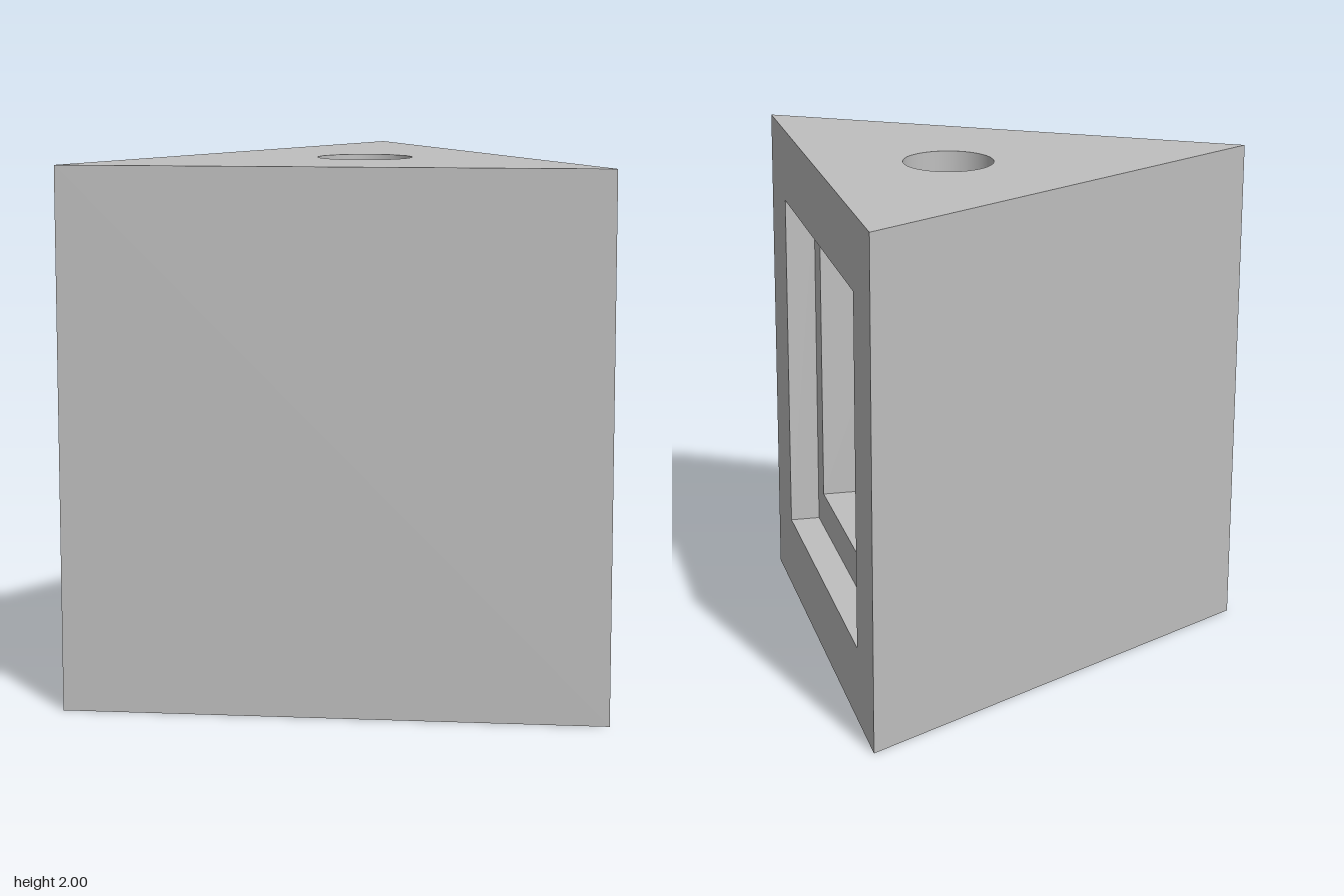
import * as THREE from 'three';

const HEIGHT = 2, SIDE = 2;
const APOTHEM = SIDE / (2 * Math.sqrt(3));
const CENTROID_Z = Math.sqrt(3) / 2 - APOTHEM;

// Rectangles are { x, y, w, h }, centred at x, y
function trace(path, { x, y, w, h }) {
  path.moveTo(x - w / 2, y - h / 2);
  path.lineTo(x + w / 2, y - h / 2);
  path.lineTo(x + w / 2, y + h / 2);
  path.lineTo(x - w / 2, y + h / 2);
  path.closePath();
  return path;
}

function panel(rect, opening) {
  const shape = trace(new THREE.Shape(), rect);
  if (opening) shape.holes.push(trace(new THREE.Path(), opening));
  return new THREE.ShapeGeometry(shape);
}

export function createModel() {
  const model = new THREE.Group();
  model.name = 'prismBlock';
  const grey = new THREE.MeshStandardMaterial({ color: 0xbfbfbf });
  grey.name = 'plain grey';

  const add = (parent, name, geometry) => {
    const mesh = new THREE.Mesh(geometry, grey);
    mesh.name = name;
    parent.add(mesh);
    return mesh;
  };

  // Four inward-facing walls of a rectangular pocket from depth d0 to d1
  const addPocketWalls = (parent, name, { x, y, w, h }, d0, d1) => {
    const depth = d1 - d0, z = -(d0 + d1) / 2;
    for (const s of [-1, 1]) {
      add(parent, name, new THREE.PlaneGeometry(depth, h)
        .rotateY(-s * Math.PI / 2).translate(x + s * w / 2, y, z));
      add(parent, name, new THREE.PlaneGeometry(w, depth)
        .rotateX(s * Math.PI / 2).translate(x, y + s * h / 2, z));
    }
  };

  // Three upright sides around the triangle's centre; the right one has the pocket
  const face = { x: 0, y: HEIGHT / 2, w: SIDE, h: HEIGHT };
  const outer = { x: 0, y: 1.002, w: 1.4, h: 1.404 };
  const inner = { x: -0.003, y: 1.012, w: 1.16, h: 1.125 };
  const LIP = 0.12, FLOOR = 0.52;
  ['frontSide', 'rightSide', 'leftSide'].forEach((name, i) => {
    const side = new THREE.Group();
    side.name = name;
    const angle = i * Math.PI * 2 / 3;
    side.rotation.y = angle;
    side.position.set(Math.sin(angle) * APOTHEM, 0, CENTROID_Z + Math.cos(angle) * APOTHEM);
    model.add(side);
    const pocketed = i === 1;
    add(side, name + 'Face', panel(face, pocketed ? outer : null));
    if (!pocketed) return;
    addPocketWalls(side, 'lipWall', outer, 0, LIP);
    add(side, 'lipLedge', panel(outer, inner)).position.z = -LIP;
    addPocketWalls(side, 'pocketWall', inner, LIP, FLOOR);
    add(side, 'pocketFloor', panel(inner)).position.z = -FLOOR;
  });

  // Triangular top and bottom, the top with a round blind hole
  const hole = { x: 0.047, z: 0.257, r: 0.177, depth: 0.3 };
  const halfDepth = Math.sqrt(3) / 2;
  const triangle = () => new THREE.Shape([
    new THREE.Vector2(-1, -halfDepth),
    new THREE.Vector2(1, -halfDepth),
    new THREE.Vector2(0, halfDepth),
  ]);
  const topShape = triangle();
  topShape.holes.push(new THREE.Path().absarc(hole.x, -hole.z, hole.r, 0, Math.PI * 2, true));
  add(model, 'top', new THREE.ShapeGeometry(topShape, 32).rotateX(-Math.PI / 2).translate(0, HEIGHT, 0));

  // The flipped bottom points its apex to the back
  const base = new THREE.Shape(triangle().getPoints().map((p) => new THREE.Vector2(p.x, -p.y)));
  add(model, 'bottom', new THREE.ShapeGeometry(base).rotateX(Math.PI / 2));

  // Hole wall runs downwards so that it faces inwards
  add(model, 'holeWall', new THREE.LatheGeometry([
    new THREE.Vector2(hole.r, HEIGHT),
    new THREE.Vector2(hole.r, HEIGHT - hole.depth),
  ], 64)).position.set(hole.x, 0, hole.z);
  add(model, 'holeFloor', new THREE.CircleGeometry(hole.r, 64).rotateX(-Math.PI / 2))
    .position.set(hole.x, HEIGHT - hole.depth, hole.z);

  return model;
}
